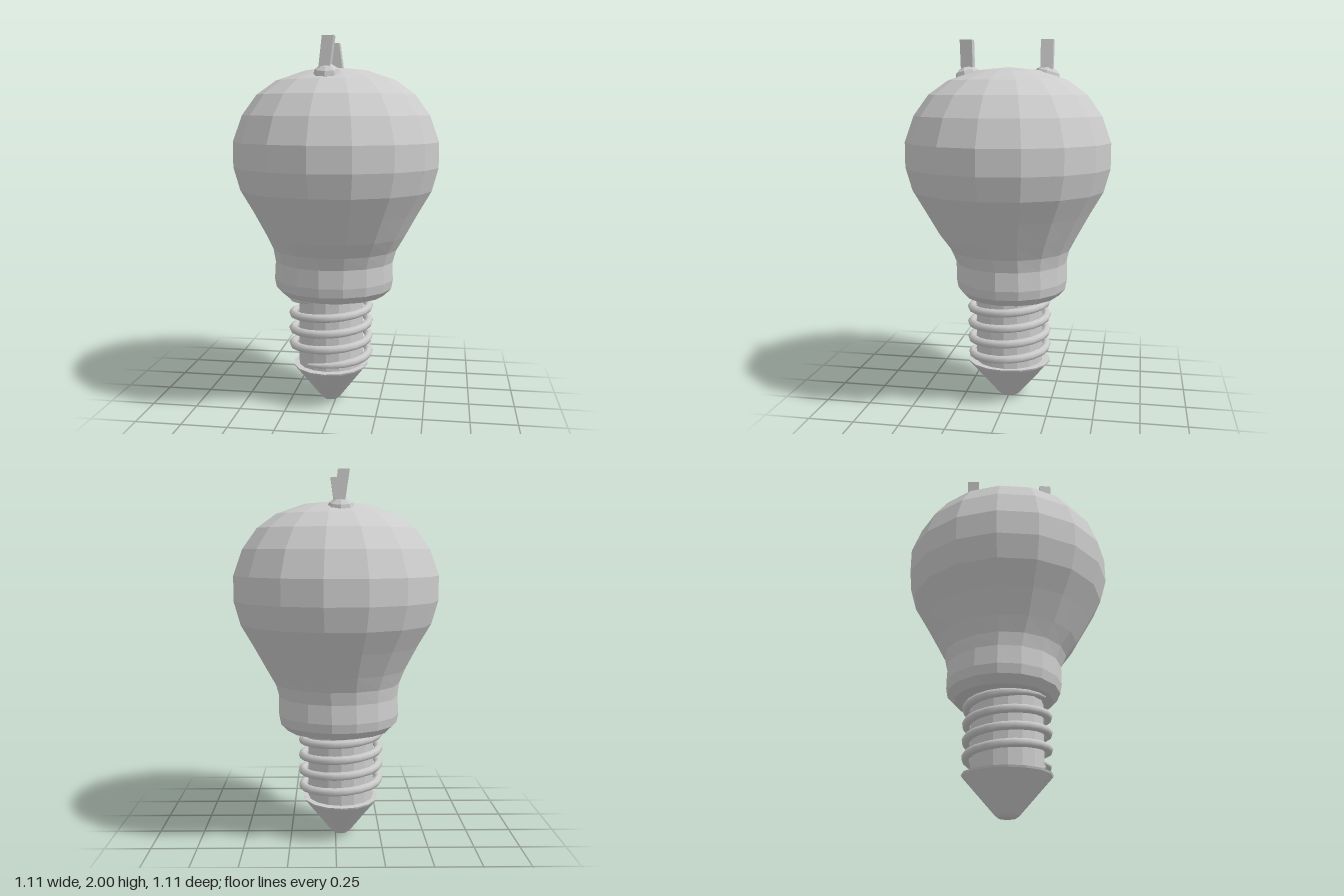
import * as THREE from 'three';

const material = new THREE.MeshStandardMaterial({ color: 0xcccccc, flatShading: true });
const smooth = new THREE.MeshStandardMaterial({ color: 0xcccccc });
const AXIS_X = -0.03; // the screw base sits slightly off the glass axis

function add(parent, name, geometry, mat = material) {
  const mesh = new THREE.Mesh(geometry, mat);
  mesh.name = name;
  parent.add(mesh);
  return mesh;
}

function lathe(points, sides, start = 0) {
  return new THREE.LatheGeometry(points.map(([r, y]) => new THREE.Vector2(r, y)), sides, start);
}

// Pear-shaped glass whose neck is slightly flattened and offset
function bulbGeometry() {
  const geometry = lathe([
    [0, 0.585], [0.2, 0.588], [0.285, 0.61], [0.325, 0.65], [0.335, 0.7], [0.33, 0.8],
    [0.345, 0.87], [0.385, 0.95], [0.455, 1.08], [0.525, 1.2], [0.56, 1.325], [0.56, 1.46],
    [0.51, 1.6], [0.43, 1.71], [0.325, 1.785], [0.17, 1.838], [0, 1.855],
  ], 16, THREE.MathUtils.degToRad(16.1));
  const p = geometry.attributes.position;
  for (let i = 0; i < p.count; i++) {
    const t = 1 - THREE.MathUtils.smoothstep(p.getY(i), 0.75, 1.0);
    p.setX(i, p.getX(i) - 0.015 * t);
    p.setZ(i, p.getZ(i) * (1 - 0.07 * t) - 0.02 * t);
  }
  geometry.computeVertexNormals();
  return geometry;
}

// Wire thread: four rising turns, tapering to a point at both ends
function threadGeometry() {
  const turns = 4, steps = turns * 20, ring = 8;
  const start = THREE.MathUtils.degToRad(-27);
  const positions = [], index = [];
  for (let i = 0; i <= steps; i++) {
    const t = i / steps, a = start + t * turns * Math.PI * 2;
    const thick = 0.023 * Math.min(1, 0.4 + Math.min(i, steps - i) / 6);
    for (let j = 0; j < ring; j++) {
      const b = (j / ring) * Math.PI * 2;
      const r = 0.214 + Math.cos(b) * thick;
      positions.push(Math.sin(a) * r, 0.25 + 0.352 * t + Math.sin(b) * thick, Math.cos(a) * r);
      if (i < steps) {
        const k = (j + 1) % ring, p = i * ring, q = p + ring;
        index.push(p + j, q + j, q + k, p + j, q + k, p + k);
      }
    }
  }
  // End caps
  for (let j = 1; j < ring - 1; j++) {
    const e = steps * ring;
    index.push(0, j, j + 1, e, e + j + 1, e + j);
  }
  const geometry = new THREE.BufferGeometry();
  geometry.setAttribute('position', new THREE.Float32BufferAttribute(positions, 3));
  geometry.setIndex(index);
  geometry.computeVertexNormals();
  return geometry;
}

// Square contact pin leaning sideways out of a small solder blob
function contact(name, z, blobX, bottomX, topX) {
  const group = new THREE.Group();
  group.name = name;
  const blob = add(group, 'solderBlob', new THREE.SphereGeometry(0.07, 8, 6));
  blob.scale.y = 0.7;
  blob.position.set(blobX, 1.812, z);
  blob.rotation.x = Math.sign(z) * 0.25;

  const low = 1.8, high = 2;
  const pin = new THREE.BoxGeometry(0.06, high - low, 0.066);
  const p = pin.attributes.position;
  for (let i = 0; i < p.count; i++) {
    const top = p.getY(i) > 0;
    p.setX(i, p.getX(i) * (top ? 1 : 0.95) + (top ? topX : bottomX));
  }
  pin.computeVertexNormals();
  add(group, 'pin', pin).position.set(0, (low + high) / 2, z);
  return group;
}

export function createModel() {
  const model = new THREE.Group();
  model.name = 'lightBulb';

  add(model, 'glassBulb', bulbGeometry());

  // Screw base: core, thread and pointed tip
  const base = new THREE.Group();
  base.name = 'screwBase';
  base.position.x = AXIS_X;
  model.add(base);

  const core = add(base, 'core', new THREE.CylinderGeometry(0.19, 0.19, 0.42, 16));
  core.position.y = 0.41;
  core.scale.x = 0.96;

  add(base, 'thread', threadGeometry(), smooth);

  const tip = add(base, 'tip', lathe([
    [0, 0], [0.045, 0], [0.062, 0.012], [0.135, 0.095], [0.232, 0.205], [0.236, 0.215], [0, 0.215],
  ], 16));
  tip.scale.x = 0.89;

  // Two contacts on the crown, leaning opposite ways
  model.add(contact('frontContact', 0.228, -0.015, -0.03, -0.005));
  model.add(contact('backContact', -0.205, -0.025, -0.012, -0.04));

  return model;
}
